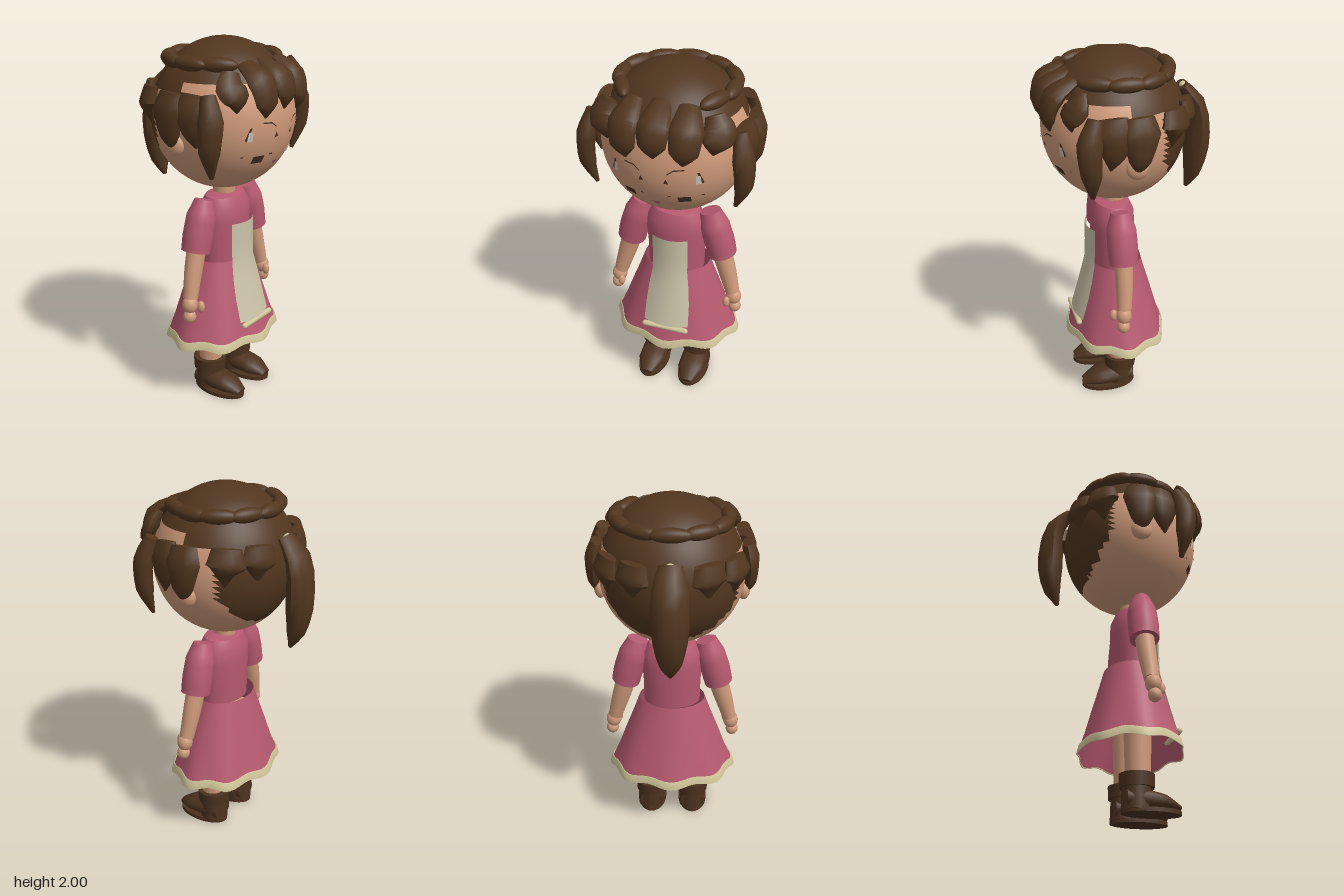
import * as THREE from 'three';
import { toCreasedNormals } from 'three/addons/utils/BufferGeometryUtils.js';

const paint = (name, color, side = THREE.FrontSide) => {
  const m = new THREE.MeshStandardMaterial({ color, side });
  m.name = name;
  return m;
};
const V = (a) => new THREE.Vector3(...a);

// Loft through points: w = half widths, t = half thicknesses, out = outward direction
function loft(points, w, t, out, sides = 10, steps = 9) {
  const curve = new THREE.CatmullRomCurve3(points.map(V));
  const at = (list, u) => {
    const f = u * (list.length - 1), i = Math.min(Math.floor(f), list.length - 2);
    return THREE.MathUtils.lerp(list[i], list[i + 1], f - i);
  };
  const pos = [], idx = [];
  for (let i = -1; i <= steps + 1; i++) {
    const cap = i < 0 || i > steps ? 0 : 1;
    const u = THREE.MathUtils.clamp(i / steps, 0, 1);
    const c = curve.getPoint(u), T = curve.getTangent(u);
    const N = V(out).addScaledVector(T, -V(out).dot(T)).normalize();
    const W = T.clone().cross(N);
    for (let j = 0; j < sides; j++) {
      const a = (j / sides) * Math.PI * 2;
      const p = c.clone()
        .addScaledVector(W, Math.cos(a) * at(w, u) * cap)
        .addScaledVector(N, Math.sin(a) * at(t, u) * cap);
      pos.push(p.x, p.y, p.z);
      if (i <= steps) {
        const r = (i + 1) * sides, k = (j + 1) % sides;
        idx.push(r + j, r + sides + j, r + k, r + k, r + sides + j, r + sides + k);
      }
    }
  }
  const g = new THREE.BufferGeometry();
  g.setAttribute('position', new THREE.Float32BufferAttribute(pos, 3));
  g.setIndex(idx);
  return toCreasedNormals(g, 0.8);
}

export function createModel() {
  const root = new THREE.Group();
  const skin = paint('skin', 0xcf9a7a), hair = paint('hair brown', 0x51361f);
  const pink = paint('dress pink', 0xb75a70, THREE.DoubleSide);
  const cream = paint('apron cream', 0xcbc2a8, THREE.DoubleSide);
  const trim = paint('trim cream', 0xd3c89c, THREE.DoubleSide);
  const boot = paint('boot brown', 0x4c321f), dark = paint('eye brown', 0x48301f, THREE.DoubleSide);
  const white = paint('eye white', 0xc9c5b8, THREE.DoubleSide), lip = paint('mouth rose', 0xa8607a, THREE.DoubleSide);

  const add = (name, geo, mat) => {
    const m = new THREE.Mesh(geo, mat);
    m.name = name;
    root.add(m);
    return m;
  };
  const ball = (name, mat, [x, y, z], [a, b, c]) =>
    add(name, new THREE.SphereGeometry(1, 20, 14).scale(a, b, c).translate(x, y, z), mat);
  const lathe = (pts, sides, depth) =>
    new THREE.LatheGeometry(pts.map((p) => new THREE.Vector2(...p)), sides).scale(1, 1, depth);

  // Head: one ball whose faces are shared out between skin and scalp
  const C = [0, 1.6, 0.06], R = [0.39, 0.4, 0.38];
  const head = new THREE.SphereGeometry(1, 56, 40).scale(...R).translate(...C);
  const P = head.attributes.position, parts = [[], []];
  for (let i = 0; i < head.index.count; i += 3) {
    const f = [0, 1, 2].map((k) => head.index.getX(i + k));
    const y = f.reduce((s, k) => s + P.getY(k), 0) / 3, z = f.reduce((s, k) => s + P.getZ(k), 0) / 3;
    const isHair = y > 1.81 || (y > 1.75 && z < 0.05) ||
      (y > 1.29 && z < -0.12 - Math.max(0, 1.5 - y) * 0.45);
    parts[isHair ? 1 : 0].push(...f);
  }
  ['face', 'scalp'].forEach((name, i) => {
    const g = head.clone();
    g.setIndex(parts[i]);
    add(name, g, i ? hair : skin);
  });

  // Painted face details laid onto the head
  const decal = (name, mat, pts, lift = 0.004) => {
    const g = new THREE.ShapeGeometry(new THREE.Shape(pts.map((p) => new THREE.Vector2(...p))));
    const p = g.attributes.position;
    for (let i = 0; i < p.count; i++) {
      const x = p.getX(i), y = p.getY(i);
      p.setZ(i, C[2] + lift + R[2] * Math.sqrt(1 - (x / R[0]) ** 2 - ((y - C[1]) / R[1]) ** 2));
    }
    g.computeVertexNormals();
    add(name, g, mat);
  };
  for (const s of [-1, 1]) {
    const d = (name, mat, pts) => decal(name, mat, pts.map(([x, y]) => [x * s, y]));
    d('iris', dark, [[0.11, 1.405], [0.17, 1.405], [0.17, 1.445], [0.11, 1.445]]);
    d('lowerLid', dark, [[0.06, 1.443], [0.23, 1.443], [0.23, 1.45], [0.06, 1.45]]);
    d('eyeWhite', white, [[0.2, 1.53], [0.225, 1.53], [0.22, 1.58], [0.2, 1.58]]);
    d('lashOuter', dark, [[0.225, 1.53], [0.235, 1.54], [0.215, 1.6], [0.205, 1.6]]);
    d('lashInner', dark, [[0.05, 1.54], [0.075, 1.535], [0.065, 1.565]]);
    d('upperLid', dark, [[0.07, 1.59], [0.1, 1.612], [0.15, 1.615], [0.15, 1.622], [0.1, 1.619], [0.07, 1.597]]);
    ball('ear', skin, [0.38 * s, 1.5, 0.035], [0.035, 0.06, 0.058]);
  }
  decal('mouth', lip, [[-0.025, 1.395], [0, 1.37], [0.025, 1.395]]);

  // Hair locks
  const lock = (name, pts, w, t, out) => add(name, loft(pts, w, t, out), hair);
  const fringe = [[0, 1.9, 1.67, 0.45], [0.155, 1.895, 1.645, 0.435], [0.29, 1.87, 1.68, 0.35]];
  for (const s of [-1, 1]) {
    for (const [x, top, tip, z] of fringe) {
      if (x === 0 && s < 0) continue;
      lock('fringeLock', [[x * s * 0.9, top, 0.29], [x * s, top - 0.07, z - 0.035], [x * s * 0.98, tip + 0.07, z], [x * s * 0.92, tip, z - 0.015]],
        [0.05, 0.085, 0.07, 0.005], [0.025, 0.04, 0.03, 0.005], [x * s * 1.5, 0.3, 1]);
    }
    lock('sideLock', [[0.375 * s, 1.77, 0.24], [0.405 * s, 1.65, 0.28], [0.41 * s, 1.5, 0.275], [0.37 * s, 1.36, 0.26]],
      [0.04, 0.065, 0.055, 0.012], [0.035, 0.05, 0.045, 0.01], [s, 0, 0.5]);
    // Lower row of pointed locks around the back: x, z, tip height
    for (const [x, z, tip] of [[0.19, -0.27, 1.57], [0.33, -0.17, 1.57], [0.41, 0.03, 1.47], [0.39, 0.16, 1.5]]) {
      lock('backLock', [[x * s * 0.95, 1.765, z], [x * s, 1.68, z - 0.005], [x * s, tip + 0.08, z], [x * s * 0.96, tip, z + 0.01]],
        [0.075, 0.1, 0.06, 0.005], [0.03, 0.045, 0.035, 0.005], [x * s, 0, z - C[2]]);
    }
    // Crown braid beads
    for (const [x, z, yaw] of [[0.15, -0.18, 0.45], [0.255, -0.08, 1.0], [0.288, 0.06, 1.6], [0.235, 0.2, 2.05]]) {
      const bead = ball('crownBead', hair, [0, 0, 0], [0.1, 0.038, 0.04]);
      bead.position.set(x * s, 1.895, z);
      bead.rotation.set(0, -yaw * s, 0);
    }
  }
  ball('crownBead', hair, [0, 1.895, -0.225], [0.11, 0.038, 0.038]);
  lock('ponytail', [[0, 1.775, -0.31], [0, 1.66, -0.39], [0, 1.45, -0.405], [0, 1.28, -0.39], [0, 1.18, -0.355]],
    [0.06, 0.095, 0.095, 0.065, 0.01], [0.03, 0.055, 0.075, 0.05, 0.01], [0, 0, -1]);
  ball('hairTie', trim, [0, 1.765, -0.32], [0.028, 0.025, 0.022]);

  // Neck and bodice
  add('neck', new THREE.CylinderGeometry(0.06, 0.06, 0.16, 20).translate(0, 1.18, 0.065), skin);
  add('bodice', toCreasedNormals(lathe([[0.16, 0.78], [0.162, 0.9], [0.17, 1.02], [0.165, 1.1], [0.13, 1.155], [0.055, 1.17], [0, 1.17]], 32, 0.71)
    .translate(0, 0, 0.072), 0.7), pink);

  // Skirt and hem: flared rings with a gentle wave that grows downwards
  const flare = (name, pts, mat) => {
    const g = lathe(pts, 64, 0.77), p = g.attributes.position;
    for (let i = 0; i < p.count; i++) {
      const x = p.getX(i), y = p.getY(i), z = p.getZ(i);
      const k = THREE.MathUtils.clamp((0.8 - y) / 0.45, 0, 1) ** 2;
      const wave = Math.cos(8 * Math.atan2(x, z / 0.77)) * k;
      p.setXYZ(i, x * (1 + 0.03 * wave), y - 0.01 * wave, z * (1 + 0.03 * wave) + 0.06);
    }
    g.computeVertexNormals();
    add(name, g, mat);
  };
  flare('skirt', [[0.355, 0.345], [0.31, 0.46], [0.265, 0.59], [0.22, 0.71], [0.187, 0.805]], pink);
  flare('hem', [[0.355, 0.34], [0.363, 0.34], [0.35, 0.385], [0.343, 0.385]], trim);

  // Apron: curved cloth panel, rows of half width, height, front depth
  const rows = [[0.1, 1.02, 0.222], [0.1, 0.9, 0.224], [0.1, 0.8, 0.227], [0.115, 0.7, 0.248], [0.125, 0.6, 0.272], [0.13, 0.47, 0.308]];
  const apron = new THREE.PlaneGeometry(2, 1, 8, rows.length - 1), q = apron.attributes.position;
  for (let i = 0; i < q.count; i++) {
    const [w, y, z] = rows[Math.floor(i / 9)], u = q.getX(i);
    q.setXYZ(i, u * w, y, z - 0.03 * u * u);
  }
  apron.computeVertexNormals();
  add('apron', apron, cream);
  add('apronRoll', new THREE.CapsuleGeometry(0.016, 0.24, 4, 10).rotateZ(Math.PI / 2).translate(0, 0.455, 0.298), trim);

  for (const s of [-1, 1]) {
    // Arms
    add('sleeve', loft([[0.19 * s, 1.165, 0.075], [0.215 * s, 1.08, 0.075], [0.245 * s, 0.98, 0.075], [0.265 * s, 0.895, 0.075]],
      [0.058, 0.082, 0.084, 0.08], [0.05, 0.08, 0.083, 0.08], [0, 0, 1], 16), pink);
    add('forearm', loft([[0.25 * s, 0.94, 0.075], [0.295 * s, 0.79, 0.08], [0.335 * s, 0.645, 0.09]],
      [0.058, 0.052, 0.04], [0.052, 0.048, 0.04], [0, 0, 1], 16), skin);
    ball('palm', skin, [0.345 * s, 0.615, 0.095], [0.044, 0.05, 0.042]);
    ball('fingers', skin, [0.355 * s, 0.55, 0.1], [0.036, 0.038, 0.035]);
    ball('thumb', skin, [0.315 * s, 0.605, 0.145], [0.02, 0.033, 0.022]);

    // Legs and boots
    const x = 0.125 * s;
    add('leg', new THREE.CylinderGeometry(0.08, 0.065, 0.5, 20).translate(x, 0.41, 0.068), skin);
    add('bootCuff', new THREE.CylinderGeometry(0.093, 0.09, 0.07, 20).translate(x, 0.165, 0.062), boot);
    add('bootShaft', new THREE.CylinderGeometry(0.075, 0.08, 0.13, 20).translate(x, 0.08, 0.06), boot);
    add('bootFoot', loft([[x, 0.07, 0.0], [x, 0.068, 0.1], [x, 0.058, 0.2], [x, 0.035, 0.285]],
      [0.07, 0.08, 0.078, 0.035], [0.055, 0.058, 0.045, 0.015], [0, 1, 0], 16), boot);
    add('bootSole', new THREE.CylinderGeometry(1, 1, 0.022, 28).scale(0.087, 1, 0.157).translate(x, 0.011, 0.135), boot);
  }
  return root;
}
